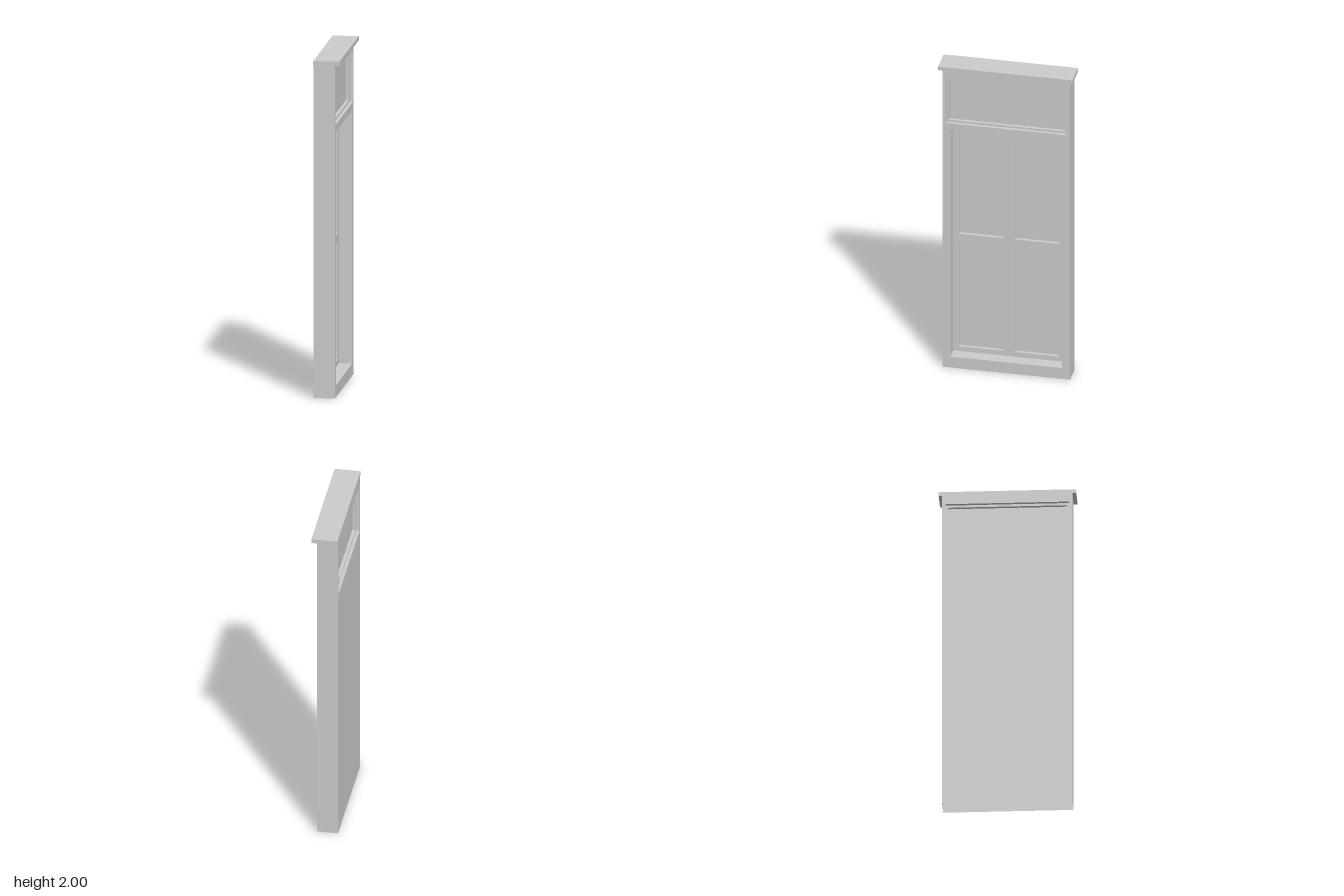
import * as THREE from 'three';

const material = new THREE.MeshStandardMaterial({ color: 0xcccccc, side: THREE.DoubleSide, flatShading: true });

// Main sizes; rectangles are [left, right, bottom, top]
const HALF = 0.38, BODY_TOP = 1.975, FRONT = 0.048, BACK = -0.077;
const bodyRect = [-HALF, HALF, 0, BODY_TOP];
const doorRect = [-0.333, 0.333, 0.072, 1.573];
const transomOuter = [-0.36, 0.36, 1.616, 1.922];
const transomInner = [-0.344, 0.344, 1.628, 1.908];
const DOOR_DEPTH = 0.078, PANEL_DEPTH = 0.02, STEP = 0.02;

const corners = ([l, r, b, t]) => [[l, b], [r, b], [r, t], [l, t]];

function add(parent, name, geometry) {
  const mesh = new THREE.Mesh(geometry, material);
  mesh.name = name;
  parent.add(mesh);
  return mesh;
}

// Flat rectangle at depth z with rectangular holes
function face(parent, name, rect, holes, z) {
  const points = (r) => corners(r).map(([x, y]) => new THREE.Vector2(x, y));
  const shape = new THREE.Shape(points(rect));
  holes.forEach((h) => shape.holes.push(new THREE.Path(points(h))));
  add(parent, name, new THREE.ShapeGeometry(shape).translate(0, 0, z));
}

// Four inward-facing walls of a recess running from z0 back to z1
function recessWalls(parent, name, rect, z0, z1) {
  const c = corners(rect), position = [];
  c.forEach(([ax, ay], i) => {
    const [bx, by] = c[(i + 1) % 4];
    position.push(ax, ay, z0, bx, by, z0, bx, by, z1, ax, ay, z0, bx, by, z1, ax, ay, z1);
  });
  const g = new THREE.BufferGeometry();
  g.setAttribute('position', new THREE.Float32BufferAttribute(position, 3));
  g.computeVertexNormals();
  add(parent, name, g);
}

// Two-step transom recess with its flat pane
function transom(parent, z) {
  const group = new THREE.Group();
  group.name = 'transom';
  recessWalls(group, 'transomOuterWalls', transomOuter, z, z - STEP);
  face(group, 'transomLedge', transomOuter, [transomInner], z - STEP);
  recessWalls(group, 'transomInnerWalls', transomInner, z - STEP, z - 2 * STEP);
  face(group, 'transomPane', transomInner, [], z - 2 * STEP);
  parent.add(group);
}

export function createModel() {
  const model = new THREE.Group();
  model.name = 'doorway';

  // Decorated side, turned to face +x
  const doorSide = new THREE.Group();
  doorSide.name = 'doorSide';
  doorSide.rotation.y = Math.PI / 2;
  model.add(doorSide);
  face(doorSide, 'doorFrame', bodyRect, [doorRect, transomOuter], FRONT);
  transom(doorSide, FRONT);

  // Deep-set door with four sunken panels
  const doorZ = FRONT - DOOR_DEPTH;
  const panels = [];
  for (const [bottom, top] of [[0.103, 0.796], [0.849, 1.543]]) {
    panels.push([-0.298, -0.034, bottom, top], [0.034, 0.298, bottom, top]);
  }
  recessWalls(doorSide, 'doorReveal', doorRect, FRONT, doorZ);
  face(doorSide, 'doorLeaf', doorRect, panels, doorZ);
  for (const p of panels) {
    recessWalls(doorSide, 'panelWalls', p, doorZ, doorZ - PANEL_DEPTH);
    face(doorSide, 'doorPanel', p, [], doorZ - PANEL_DEPTH);
  }

  // Plain side, facing -x, with only the transom
  const plainSide = new THREE.Group();
  plainSide.name = 'plainSide';
  plainSide.rotation.y = -Math.PI / 2;
  model.add(plainSide);
  face(plainSide, 'backFace', bodyRect, [transomOuter], -BACK);
  transom(plainSide, -BACK);

  // Narrow ends; the underside stays open
  for (const s of [1, -1]) {
    const end = add(model, 'endFace', new THREE.PlaneGeometry(FRONT - BACK, BODY_TOP));
    end.position.set((FRONT + BACK) / 2, BODY_TOP / 2, s * HALF);
    if (s < 0) end.rotation.y = Math.PI;
  }

  // Cornice, flush with the back and overhanging the other sides
  const cornice = add(model, 'cornice', new THREE.BoxGeometry(-2 * BACK, 2 - BODY_TOP, 0.8));
  cornice.position.y = (2 + BODY_TOP) / 2;

  return model;
}
